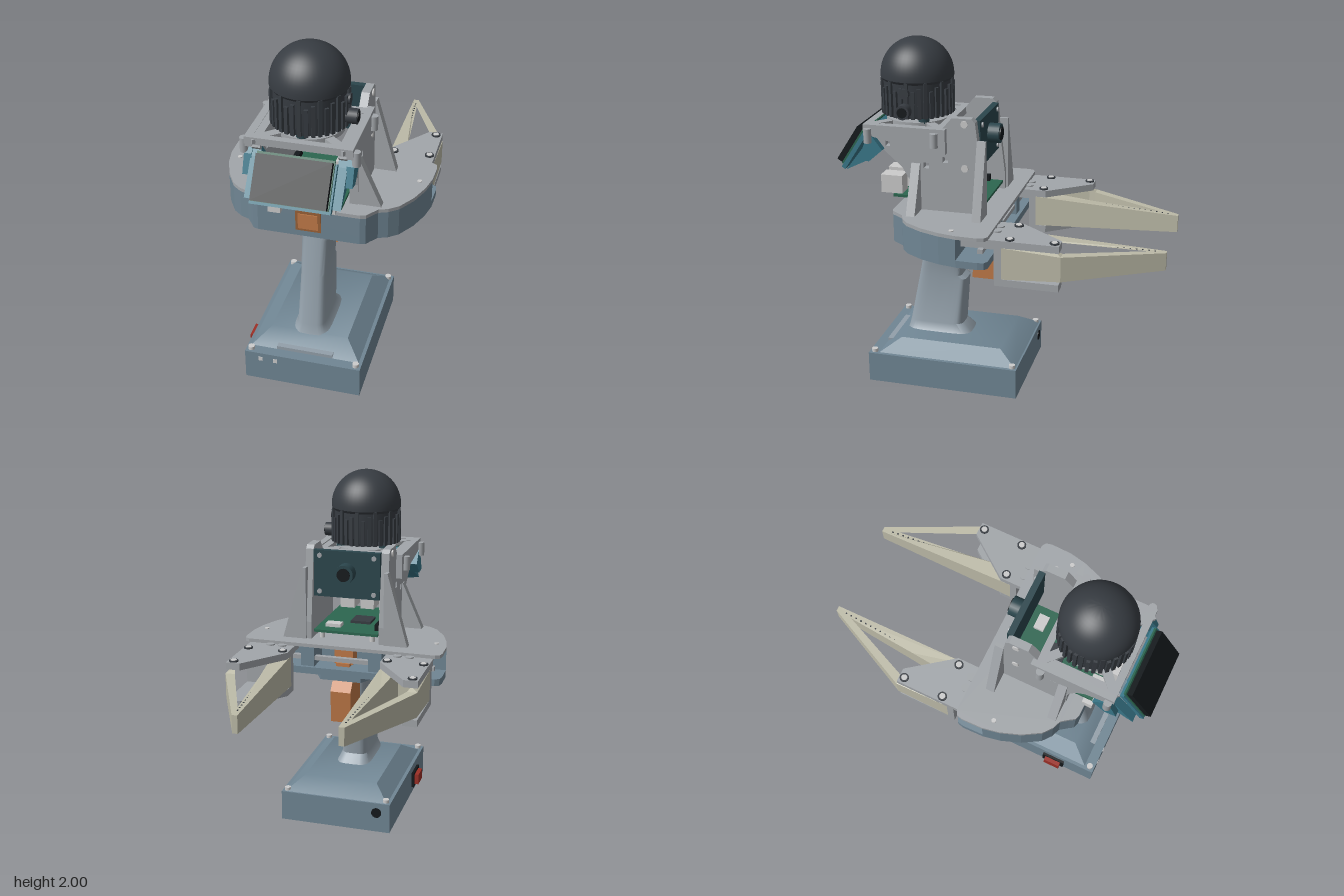
import * as THREE from 'three';
import { toCreasedNormals } from 'three/addons/utils/BufferGeometryUtils.js';

const mat = (color) => new THREE.MeshStandardMaterial({ color });
const blue = mat(0x708694), grey = mat(0xa2a6aa), gripGrey = mat(0x93a0aa), dark = mat(0x373c42),
  black = mat(0x14191c), teal = mat(0x39788a), deepTeal = mat(0x2b464d), orange = mat(0xc07a48),
  beige = mat(0xbdbba8), green = mat(0x2c6650), white = mat(0xc4c6c6), red = mat(0x9c2f26);

export function createModel() {
  const model = new THREE.Group();
  const add = (name, geo, material, parent = model) => {
    const m = new THREE.Mesh(geo, material);
    m.name = name;
    parent.add(m);
    return m;
  };
  // box given by its x, y and z ranges
  const box = (name, x0, x1, y0, y1, z0, z1, material) => add(name,
    new THREE.BoxGeometry(x1 - x0, y1 - y0, z1 - z0)
      .translate((x0 + x1) / 2, (y0 + y1) / 2, (z0 + z1) / 2), material);
  const cyl = (name, r, h, x, y, z, material, axis = 'y') => {
    const m = add(name, new THREE.CylinderGeometry(r, r, h, 24), material);
    if (axis === 'x') m.rotation.z = Math.PI / 2;
    if (axis === 'z') m.rotation.x = Math.PI / 2;
    m.position.set(x, y, z);
    return m;
  };
  const outline = (pts, holes = []) => {
    const s = new THREE.Shape(pts.map((p) => new THREE.Vector2(...p)));
    holes.forEach((h) => s.holes.push(new THREE.Path(h.map((p) => new THREE.Vector2(...p)))));
    return s;
  };
  const extrude = (shape, depth) => new THREE.ExtrudeGeometry(shape, { depth, bevelEnabled: false });
  // plan outline in (x, z), raised from y0 to y1
  const planGeo = (pts, y0, y1, holes = []) => {
    const flip = (a) => a.map(([x, z]) => [x, -z]);
    return extrude(outline(flip(pts), holes.map(flip)), y1 - y0).rotateX(-Math.PI / 2).translate(0, y0, 0);
  };
  const plan = (name, pts, y0, y1, material, holes) => add(name, planGeo(pts, y0, y1, holes), material);
  // side outline in (z, y), spanning x0 to x1
  const side = (name, pts, x0, x1, material, holes) => add(name,
    extrude(outline(pts, holes), x1 - x0).rotateY(-Math.PI / 2).translate(x1, 0, 0), material);
  const mirror = (half) => [...half, ...half.map(([x, z]) => [-x, z]).reverse()];
  const square = (z, y, r) => [[z - r, y - r], [z + r, y - r], [z + r, y + r], [z - r, y + r]];
  // stacked closed rings of [x, y, z] joined by quads
  const loft = (rings) => {
    const n = rings[0].length, index = [];
    for (let i = 0; i < rings.length - 1; i++) for (let j = 0; j < n; j++) {
      const a = i * n + j, b = i * n + (j + 1) % n;
      index.push(a, a + n, b, b, a + n, b + n);
    }
    for (let j = 1; j < n - 1; j++) {
      const t = (rings.length - 1) * n;
      index.push(0, j, j + 1, t, t + j + 1, t + j);
    }
    const g = new THREE.BufferGeometry();
    g.setAttribute('position', new THREE.Float32BufferAttribute(rings.flat(2), 3));
    g.setIndex(index);
    return toCreasedNormals(g, 0.6);
  };

  // battery base with sloped lid
  box('baseBox', -0.33, 0.33, 0, 0.18, -0.13, 0.76, blue);
  const rect = (w, y, z0, z1) => [[w, y, z0], [w, y, z1], [-w, y, z1], [-w, y, z0]];
  add('baseLid', loft([rect(0.31, 0.18, -0.12, 0.7), rect(0.22, 0.25, -0.01, 0.59)]), blue);
  for (const x of [-0.3, 0.3]) for (const z of [-0.1, 0.73]) cyl('basePin', 0.018, 0.03, x, 0.185, z, white);
  box('switchFrame', -0.345, -0.33, 0.04, 0.135, 0.43, 0.57, black);
  box('powerSwitch', -0.37, -0.345, 0.055, 0.12, 0.45, 0.55, red);
  cyl('socket', 0.03, 0.012, -0.25, 0.12, -0.128, black, 'z');
  for (const x of [-0.24, -0.155]) box('frontPort', x - 0.012, x + 0.012, 0.13, 0.155, 0.755, 0.763, white);
  box('handleFoot', -0.16, 0.16, 0.17, 0.2, 0.5, 0.7, gripGrey);

  // handle: [y, front z, rear z, half width]
  const sections = [[0.19, 0.63, 0.18, 0.17], [0.215, 0.615, 0.19, 0.15], [0.25, 0.6, 0.21, 0.105],
    [0.3, 0.588, 0.26, 0.083], [0.59, 0.528, 0.238, 0.078], [0.61, 0.524, 0.266, 0.078],
    [0.8, 0.485, 0.245, 0.08], [0.84, 0.477, 0.235, 0.1], [0.865, 0.472, 0.22, 0.15], [0.89, 0.47, 0.2, 0.23]];
  const soft = (v) => Math.sign(v) * Math.abs(v) ** 0.45;
  add('handle', loft(sections.map(([y, zf, zr, w]) => Array.from({ length: 32 }, (_, k) => {
    const t = k / 16 * Math.PI;
    return [w * soft(Math.cos(t)), y, (zf + zr) / 2 + (zf - zr) / 2 * soft(Math.sin(t))];
  }))), gripGrey);
  plan('handleMount', mirror([[0.12, -0.02], [0.24, 0.2], [0.24, 0.47]]), 0.87, 0.9, blue);

  // trigger and the slider it moves
  side('trigger', [[0.2, 0.61], [-0.005, 0.61], [-0.02, 0.8], [0.035, 0.865], [0.19, 0.865], [0.18, 0.81]],
    -0.06, 0.06, orange);
  box('triggerSlider', -0.055, 0.055, 0.95, 1.04, 0.05, 0.598, orange);
  box('sliderWindow', -0.07, 0.07, 0.935, 1.06, 0.5, 0.593, mat(0x9a6238));
  box('triggerStem', -0.04, 0.04, 0.85, 0.96, 0.03, 0.15, orange);

  // body: floor, hollow-backed shell and cover plate
  const front = [[0.58, 0.14], [0.56, 0.24], [0.52, 0.35], [0.46, 0.45], [0.41, 0.49], [0.36, 0.51],
    [0.33, 0.55], [0.31, 0.58], [0.28, 0.59]];
  const back = [[0.55, -0.03], [0.575, -0.015], [0.583, 0.02]];
  plan('bodyFloor', mirror([...back, ...front]), 0.9, 0.94, blue);
  plan('bodyShell', mirror(front), 0.94, 1.06, blue);
  plan('coverPlate', mirror([...back, ...front]), 1.06, 1.08, grey);
  box('gripperRail', -0.54, 0.54, 0.975, 1.0, 0.0, 0.03, grey);
  for (const x of [-0.2, 0.2]) box('railSupport', x - 0.04, x + 0.04, 0.94, 1.06, -0.01, 0.14, blue);
  for (const x of [-0.515, 0.515]) cyl('coverScrew', 0.013, 0.01, x, 1.08, 0.18, white);

  // gripper fingers and their carriers
  for (const s of [-1, 1]) {
    const m = (pts) => pts.map(([x, z]) => [s * x, z]);
    const knuckle = m([[0.27, -0.03], [0.27, -0.16], [0.46, -0.41], [0.54, -0.41], [0.54, -0.03]]);
    const x0 = Math.min(s * 0.27, s * 0.54), x1 = x0 + 0.27;
    plan('carrierTop', knuckle, 1.02, 1.06, grey);
    plan('carrierBottom', m([[0.27, -0.06], [0.27, -0.16], [0.46, -0.41], [0.54, -0.41], [0.54, -0.06]]), 0.8, 0.84, grey);
    box('carrierWall', x0, x1, 0.8, 1.04, -0.1, -0.06, grey);
    box('carrierSlide', x0 + 0.03, x1 - 0.03, 0.995, 1.05, -0.07, 0.13, grey);
    const geo = planGeo(
      m([[0.27, -0.1], [0.268, -0.42], [0.265, -0.94], [0.295, -0.94], [0.54, -0.42], [0.54, -0.1]]), -1, 1,
      [m([[0.37, -0.14], [0.34, -0.42], [0.302, -0.84], [0.485, -0.42], [0.5, -0.38], [0.5, -0.14]])]);
    const p = geo.attributes.position;
    for (let i = 0; i < p.count; i++) { // height narrows towards the tip
      const z = p.getZ(i), h = z > -0.4 ? 0.09 : 0.07 - 0.02 * (-0.42 - z) / 0.52;
      p.setY(i, 0.93 + h * p.getY(i));
    }
    geo.computeVertexNormals();
    add('finger', geo, beige);
    for (let k = 0; k < 14; k++)
      cyl('fingerHole', 0.005, 0.004, s * (0.315 - k * 0.0022), 0.998 - k * 0.0012, -0.45 - k * 0.033, dark);
    for (const [x, z] of [[0.505, -0.38], [0.51, -0.14], [0.305, -0.14]]) {
      cyl('carrierScrew', 0.026, 0.012, s * x, 1.061, z, dark);
      cyl('screwHead', 0.017, 0.018, s * x, 1.061, z, white);
    }
    for (const x of [0.34, 0.41]) cyl('carrierPin', 0.024, 0.012, s * x, 1.061, -0.045, grey);
  }

  // tower sides with gussets and frame skirts
  for (const s of [-1, 1]) {
    const span = (a, b) => (s > 0 ? [a, b] : [-b, -a]);
    side('towerSide', [[0.07, 1.08], [0.07, 1.18], [0.12, 1.6], [0.14, 1.62], [0.25, 1.62], [0.31, 1.55],
      [0.72, 1.55], [0.74, 1.5], [0.62, 1.39], [0.54, 1.32], [0.5, 1.25], [0.49, 1.2], [0.49, 1.08]],
    ...span(0.2, 0.245), grey, [square(0.29, 1.38, 0.016), square(0.4, 1.34, 0.016), square(0.62, 1.45, 0.014)]);
    side('frameSkirt', [[0.28, 1.56], [0.28, 1.42], [0.74, 1.5], [0.74, 1.56]], ...span(0.245, 0.28), grey);
    for (const [z, top] of [[0.06, 1.5], [0.435, 1.35]])
      add('gusset', extrude(outline([[s * 0.23, 1.08], [s * 0.37, 1.08], [s * 0.25, top], [s * 0.23, top]]), 0.05)
        .translate(0, 0, z), grey);
    for (const y of [1.34, 1.59]) cyl('towerScrew', 0.02, 0.01, s * 0.247, y, 0.18, white, 'x');
    for (const z of [0.34, 0.72]) cyl('framePost', 0.022, 0.08, s * 0.29, 1.5, z, grey);
  }

  // sensor frame with diagonal struts
  plan('sensorFrame', mirror([[0.28, 0.3], [0.28, 0.75]]), 1.52, 1.56, grey, [mirror([[0.24, 0.34], [0.24, 0.71]])]);
  cyl('sensorPlate', 0.18, 0.025, 0, 1.545, 0.52, grey);
  for (const a of [0.72, -0.72]) add('frameStrut', new THREE.BoxGeometry(0.66, 0.025, 0.05)
    .rotateY(a).translate(0, 1.54, 0.525), grey);

  // domed scanner with cooling fins
  const profile = [[0, 1.58], [0.185, 1.58], [0.19, 1.6], [0.194, 1.77], [0.205, 1.785]];
  for (let k = 0; k <= 16; k++) {
    const t = k / 32 * Math.PI;
    profile.push([Math.max(0, 0.205 * Math.cos(t)), 1.795 + 0.205 * Math.sin(t)]);
  }
  const lathe = new THREE.LatheGeometry(profile.map((q) => new THREE.Vector2(...q)), 48);
  add('scannerDome', toCreasedNormals(lathe, 0.5), dark).position.z = 0.52;
  for (let k = 0; k < 36; k++) {
    const a = k / 36 * Math.PI * 2, h = [0.2, 0.15, 0.17][k % 3];
    add('scannerFin', new THREE.BoxGeometry(0.02, h, 0.03).translate(0, 1.582 + h / 2, 0.191)
      .rotateY(a).translate(0, 0, 0.52), dark);
  }
  for (let k = 0; k < 3; k++) {
    const a = k * Math.PI * 2 / 3;
    cyl('scannerFoot', 0.03, 0.04, 0.15 * Math.sin(a), 1.57, 0.52 + 0.15 * Math.cos(a), deepTeal);
  }
  cyl('scannerPlug', 0.04, 0.06, 0.222, 1.63, 0.53, dark, 'x');
  cyl('plugTip', 0.028, 0.03, 0.242, 1.63, 0.53, black, 'x');
  cyl('scannerButton', 0.028, 0.03, 0.2, 1.725, 0.53, dark, 'x');

  // tilted display on its bracket
  const display = new THREE.Group();
  display.name = 'display';
  display.position.set(0, 1.405, 0.86);
  display.rotation.x = -0.576;
  model.add(display);
  add('screen', new THREE.BoxGeometry(0.39, 0.235, 0.035).translate(0, 0, 0.008), black, display);
  add('screenBoard', new THREE.BoxGeometry(0.4, 0.25, 0.012).translate(0, 0.005, -0.015), green, display);
  add('screenTray', new THREE.BoxGeometry(0.42, 0.25, 0.025).translate(0, -0.01, -0.034), teal, display);
  for (const s of [-1, 1]) {
    const span = s > 0 ? [0.2, 0.25] : [-0.25, -0.2];
    side('displayArm', [[0.87, 1.28], [0.74, 1.45], [0.7, 1.49], [0.64, 1.42], [0.73, 1.35]], ...span, teal);
    const hinge = s > 0 ? [0.245, 0.285] : [-0.285, -0.245];
    side('displayHinge', [[0.78, 1.36], [0.74, 1.46], [0.7, 1.5], [0.64, 1.42], [0.72, 1.35]], ...hinge, teal);
  }

  // computer board with ports and chips
  box('circuitBoard', -0.19, 0.19, 1.12, 1.135, 0.08, 0.62, green);
  for (const x of [-0.15, 0.15]) for (const z of [0.12, 0.5]) cyl('boardPost', 0.015, 0.05, x, 1.1, z, white);
  for (const [x, w, h] of [[-0.12, 0.1, 0.08], [0.005, 0.085, 0.11], [0.13, 0.09, 0.105]]) {
    box('port', x - w / 2, x + w / 2, 1.135, 1.135 + h, 0.57, 0.695, white);
    for (const k of h > 0.1 ? [0.28, 0.72] : [0.5])
      box('portOpening', x - w * 0.36, x + w * 0.36, 1.12 + h * k, 1.15 + h * k, 0.68, 0.698, dark);
  }
  box('processor', -0.1, 0.02, 1.135, 1.15, 0.26, 0.38, dark);
  box('shieldCan', 0.05, 0.14, 1.135, 1.155, 0.15, 0.21, white);
  box('pinHeader', -0.185, -0.155, 1.135, 1.17, 0.15, 0.5, black);
  box('cablePlug', -0.21, -0.14, 1.05, 1.1, 0.57, 0.63, white);

  // rear camera between the tower sides
  box('cameraPlate', -0.195, 0.195, 1.33, 1.6, 0.105, 0.14, deepTeal);
  cyl('cameraLens', 0.055, 0.09, 0, 1.48, 0.085, deepTeal, 'z');
  cyl('lensGlass', 0.038, 0.01, 0, 1.48, 0.038, black, 'z');
  for (const x of [-0.16, 0.16]) for (const y of [1.36, 1.57]) cyl('cameraScrew', 0.014, 0.01, x, y, 0.102, grey, 'z');

  return model;
}
